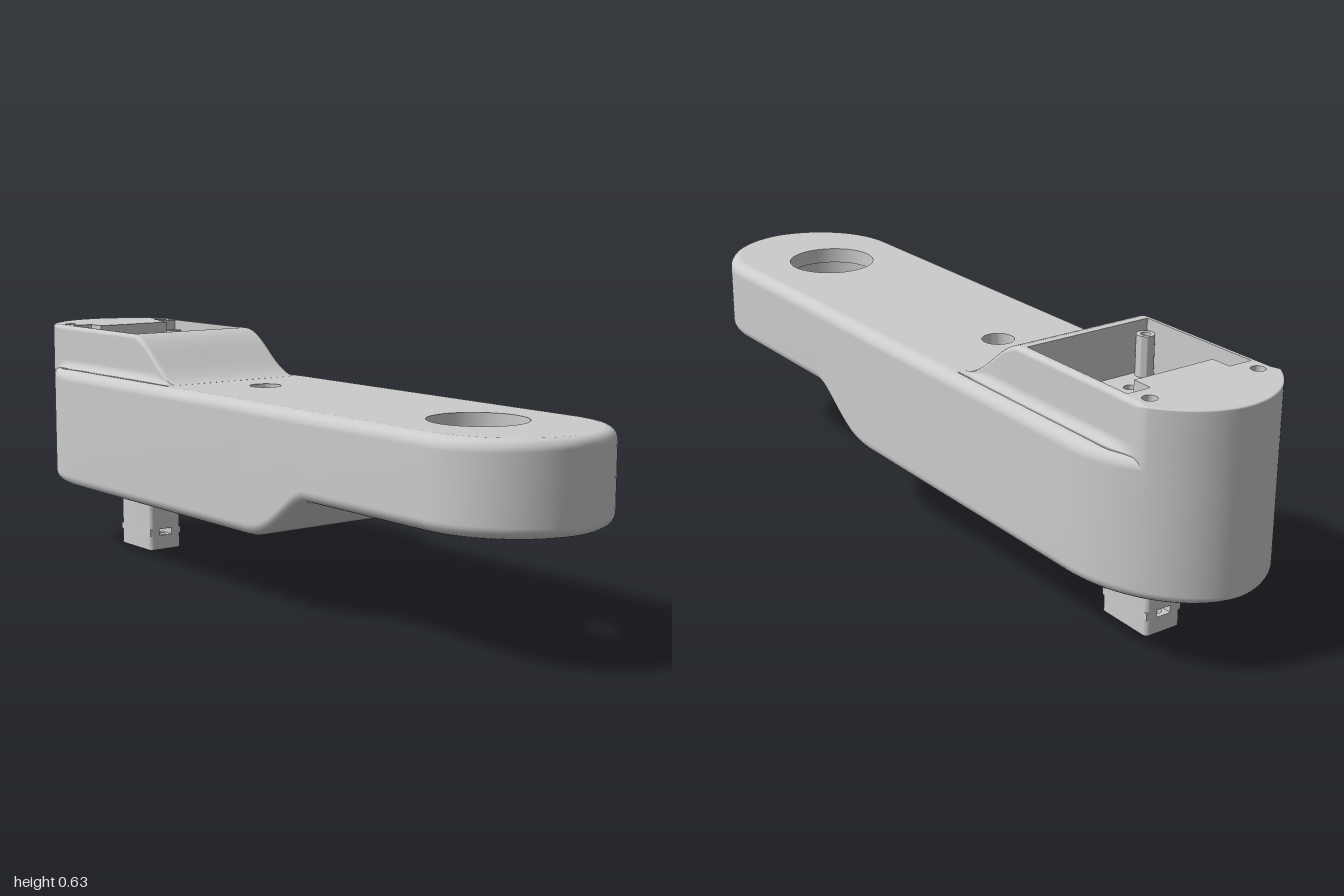
import * as THREE from 'three';
import { toCreasedNormals } from 'three/addons/utils/BufferGeometryUtils.js';

const TOP = 0.51, BASE = 0.187, HOUSING_TOP = 0.627, FLOOR = 0.5, STEP0 = 0.1, STEP1 = 0.36;
const V3 = (x, y, z) => new THREE.Vector3(x, y, z);
const V2 = (x, y) => new THREE.Vector2(x, y);
const smooth = (x, a, b) => THREE.MathUtils.smoothstep(x, a, b);

export function createModel() {
  const model = new THREE.Group();
  const material = new THREE.MeshStandardMaterial({ color: 0xcccccc, side: THREE.DoubleSide });
  const add = (name, geometry, parent = model) => {
    const mesh = new THREE.Mesh(geometry, material);
    mesh.name = name;
    parent.add(mesh);
    return mesh;
  };

  // Surface through rows of points; faces along (row step) x (column step)
  const grid = (rows, closed) => {
    const n = rows[0].length, index = [];
    for (let j = 0; j < rows.length - 1; j++) {
      for (let i = 0; i < (closed ? n : n - 1); i++) {
        const k = (i + 1) % n, a = j * n + i, b = j * n + k, c = a + n, d = b + n;
        index.push(a, c, b, b, c, d);
      }
    }
    const g = new THREE.BufferGeometry().setFromPoints(rows.flat());
    g.setIndex(index);
    g.computeVertexNormals();
    return g;
  };
  const disc = (x, z, r, seg = 32) =>
    Array.from({ length: seg }, (_, i) => V2(x + r * Math.cos(i / seg * 2 * Math.PI), z + r * Math.sin(i / seg * 2 * Math.PI)));
  const shapeOf = (points, holes) => {
    const s = new THREE.Shape(points);
    s.holes = holes.map(h => new THREE.Path(h));
    return s;
  };
  // Flat horizontal face; every layout is symmetric in z
  const cap = (points, holes, y, up) =>
    new THREE.ShapeGeometry(shapeOf(points, holes)).rotateX(up ? -Math.PI / 2 : Math.PI / 2).translate(0, y, 0);
  // Turned wall of a hole
  const bore = (name, x, z, profile) => {
    const g = new THREE.LatheGeometry(profile.map(p => V2(p[0], p[1])), 48);
    add(name, toCreasedNormals(g, 0.6)).position.set(x, 0, z);
  };
  const mirrored = half => half.concat(half.slice(1, -1).reverse().map(p => ({ ...p, z: -p.z, nz: -p.nz })));
  const inset = (p, d) => V2(p.x - p.nx * d, p.z - p.nz * d);
  const nosePoint = (b, r) => {
    const nx = -Math.cos(b) / 0.3, nz = Math.sin(b) / 0.24, l = Math.hypot(nx, nz);
    return { x: -0.7 - 0.3 * Math.cos(b), z: 0.24 * Math.sin(b), nx: nx / l, nz: nz / l, r };
  };
  const pairs = (x, z) => [[x, z], [x, -z]];

  // Arm body outline: round far end, straight sides, elliptical nose
  const bottomY = x => {
    const t = THREE.MathUtils.clamp((x - STEP0) / (STEP1 - STEP0), 0, 1);
    return BASE + (0.3 - BASE) * smooth(Math.pow(t, 1.4), 0, 1);
  };
  const half = [];
  for (let i = 0; i <= 24; i++) {
    const a = i / 24 * Math.PI / 2, c = Math.cos(a), s = Math.sin(a);
    half.push({ x: 0.76 + 0.24 * c, z: 0.24 * s, nx: c, nz: s, r: 0.022 + 0.008 * s });
  }
  const rampX = Array.from({ length: 17 }, (_, i) => STEP1 + (STEP0 - STEP1) * i / 16);
  rampX.forEach(x => half.push({ x, z: 0.24, nx: 0, nz: 1, r: 0.03 }));
  for (let i = 0; i <= 28; i++) {
    const b = (1 - i / 28) * Math.PI / 2;
    half.push(nosePoint(b, 0.01 + 0.02 * Math.sin(b)));
  }
  const outline = mirrored(half);

  // Body side wall with rounded lower and upper edges
  const rows = [];
  for (const upper of [false, true]) {
    for (let k = 0; k <= 6; k++) {
      const a = (upper ? 6 - k : k) / 6 * Math.PI / 2;
      rows.push(outline.map(p => {
        const q = inset(p, p.r * (1 - Math.sin(a))), h = p.r * (1 - Math.cos(a));
        return V3(q.x, upper ? TOP - h : bottomY(p.x) + h, q.y);
      }));
    }
  }
  add('bodyWall', grid(rows, true));

  // Holes shared by the faces
  const bigHole = [0.675, 0, 0.115], smallHole = [-0.12, 0, 0.04];
  const pocketHalf = [[-0.468, 0.172], [-0.81, 0.172], [-0.81, 0.11], [-0.757, 0.11]];
  const pocket = [...pocketHalf, ...pocketHalf.slice().reverse().map(([x, z]) => [x, -z])].map(p => V2(...p));
  const leftScrews = [...pairs(0.05, 0.18), ...pairs(-0.86, 0.135)];
  const rightScrews = pairs(0.88, 0.125);
  const topScrews = pairs(-0.855, 0.15);

  // Body faces
  const edge = outline.map(p => inset(p, p.r));
  add('bodyTop', cap(edge, [disc(...bigHole, 48), disc(...smallHole, 48), pocket], TOP, true));
  add('bodyBottom', cap(edge.filter(p => p.x < STEP0 + 1e-4),
    [disc(...smallHole, 48), ...leftScrews.map(s => disc(...s, 0.02))], BASE, false));
  add('bodyStepBottom', cap(edge.filter(p => p.x > STEP1 - 1e-4),
    [disc(...bigHole, 48), ...rightScrews.map(s => disc(...s, 0.02))], 0.3, false));
  add('bodyRamp', grid([-0.21, 0.21].map(z => rampX.map(x => V3(x, bottomY(x), z))), false));

  // Through holes and screw holes
  bore('endHole', 0.675, 0, [[0.115, 0.3], [0.115, 0.33], [0.14, 0.33], [0.14, 0.47], [0.115, 0.47], [0.115, TOP]]);
  bore('middleHole', -0.12, 0, [[0.04, BASE], [0.04, TOP]]);
  leftScrews.forEach(([x, z]) => bore('screwHole', x, z, [[0.02, BASE], [0.02, 0.24], [0, 0.24]]));
  rightScrews.forEach(([x, z]) => bore('screwHole', x, z, [[0.02, 0.3], [0.02, 0.35], [0, 0.35]]));
  topScrews.forEach(([x, z]) => bore('topScrewHole', x, z, [[0.017, HOUSING_TOP], [0.017, 0.6], [0, 0.6]]));

  // Raised housing: straight sides with a sloped front, flush with the nose
  const housingY = x => HOUSING_TOP - (HOUSING_TOP - TOP) * smooth(x, -0.46, -0.25);
  const slopeX = Array.from({ length: 17 }, (_, i) => -0.255 - 0.205 * i / 16);
  const housingHalf = [{ x: -0.255, z: 0, nx: 0, nz: 0, r: 0.012, flare: 0 }];
  [...slopeX, -0.6, -0.78, -0.8, -0.82, -0.84, -0.86].forEach(x => housingHalf.push(
    { x, z: 0.19, nx: 0, nz: 1, r: 0.012, flare: 0.022 * smooth(x, -0.87, -0.78) }));
  const b0 = Math.asin(0.19 / 0.24);
  for (let i = 0; i <= 20; i++) housingHalf.push({ ...nosePoint(b0 * (1 - i / 20), 0.004), flare: 0 });
  const housing = mirrored(housingHalf);
  const housingRows = [housing.map(p => V3(p.x, 0.478, p.z))];
  for (let k = 0; k <= 5; k++) {
    const a = k / 5 * Math.PI / 2;
    housingRows.push(housing.map(p => {
      const s = Math.min(1, (housingY(p.x) - TOP) / 0.05), q = inset(p, -p.flare * (1 - Math.sin(a)));
      return V3(q.x, TOP + 0.025 * s * (1 - Math.cos(a)), q.y);
    }));
  }
  for (let k = 0; k <= 5; k++) {
    const a = k / 5 * Math.PI / 2;
    housingRows.push(housing.map(p => {
      const s = Math.min(1, (housingY(p.x) - TOP) / 0.05), q = inset(p, p.r * (1 - Math.cos(a)));
      return V3(q.x, housingY(p.x) - p.r * s * (1 - Math.sin(a)), q.y);
    }));
  }
  add('housingWall', grid(housingRows, true));
  add('housingTop', cap(housing.map(p => inset(p, p.r)).filter(p => p.x < -0.46 + 1e-4),
    [pocket, ...topScrews.map(s => disc(...s, 0.017))], HOUSING_TOP, true));
  add('housingSlope', grid([-0.178, 0.178].map(z => slopeX.slice().reverse().map(x => V3(x, housingY(x), z))), false));

  // Pocket in the housing with motor mount floor and corner posts
  add('pocketWall', toCreasedNormals(grid([HOUSING_TOP, FLOOR].map(y => pocket.map(p => V3(p.x, y, p.y))), true), 0.3));
  const mounts = [...pairs(-0.535, 0.07), ...pairs(-0.675, 0.07)];
  add('pocketFloor', cap(pocket, [disc(-0.605, 0, 0.058), ...mounts.map(s => disc(...s, 0.015))], FLOOR, true));
  bore('motorBore', -0.605, 0, [[0.058, FLOOR], [0.058, 0.48], [0.048, 0.48], [0.048, 0.42], [0, 0.42]]);
  mounts.forEach(([x, z]) => bore('mountHole', x, z, [[0.015, FLOOR], [0.015, 0.46], [0, 0.46]]));
  [...pairs(-0.785, 0.149), ...pairs(-0.49, 0.149)].forEach(([x, z]) =>
    bore('cornerPost', x, z, [[0.022, FLOOR], [0.022, 0.6], [0.012, 0.6], [0.012, 0.57], [0, 0.57]]));

  // Drive post below: layered around a cross slot, flaring into the body
  const post = new THREE.Group();
  post.name = 'drivePost';
  post.position.x = -0.6825;
  model.add(post);
  const hx = 0.0775, hz = 0.05, r = 0.01, ring = [];
  [[1, 1], [-1, 1], [-1, -1], [1, -1]].forEach(([sx, sz], q) => {
    for (let i = 0; i <= 5; i++) {
      const a = (q + i / 5) * Math.PI / 2;
      ring.push(V2(sx * (hx - r) + r * Math.cos(a), sz * (hz - r) + r * Math.sin(a)));
    }
  });
  const socket = [V2(-0.03, -0.02), V2(0.03, -0.02), V2(0.03, 0.02), V2(-0.03, 0.02)];
  const layer = (name, holes, y0, y1) => {
    const g = new THREE.ExtrudeGeometry(shapeOf(ring, holes), { depth: y1 - y0, bevelEnabled: false });
    add(name, toCreasedNormals(g.rotateX(-Math.PI / 2).translate(0, y0, 0), 0.5), post);
  };
  layer('postFoot', [socket, disc(-0.054, 0, 0.012, 20), disc(0.054, 0, 0.012, 20)], 0, 0.04);
  for (const s of [-1, 1]) {
    add('slotSide', new THREE.BoxGeometry(2 * hx, 0.018, 0.03).translate(0, 0.049, s * 0.035), post);
  }
  layer('postShaft', [socket], 0.058, 0.157);
  const flareRows = [];
  for (let k = 0; k <= 6; k++) {
    const a = k / 6 * Math.PI / 2, o = 0.03 * (1 - Math.cos(a));
    flareRows.push(ring.map(p => V3(p.x * (hx + o) / hx, 0.157 + 0.03 * Math.sin(a), p.y * (hz + o) / hz)));
  }
  add('postFlare', grid(flareRows, true), post);
  return model;
}
